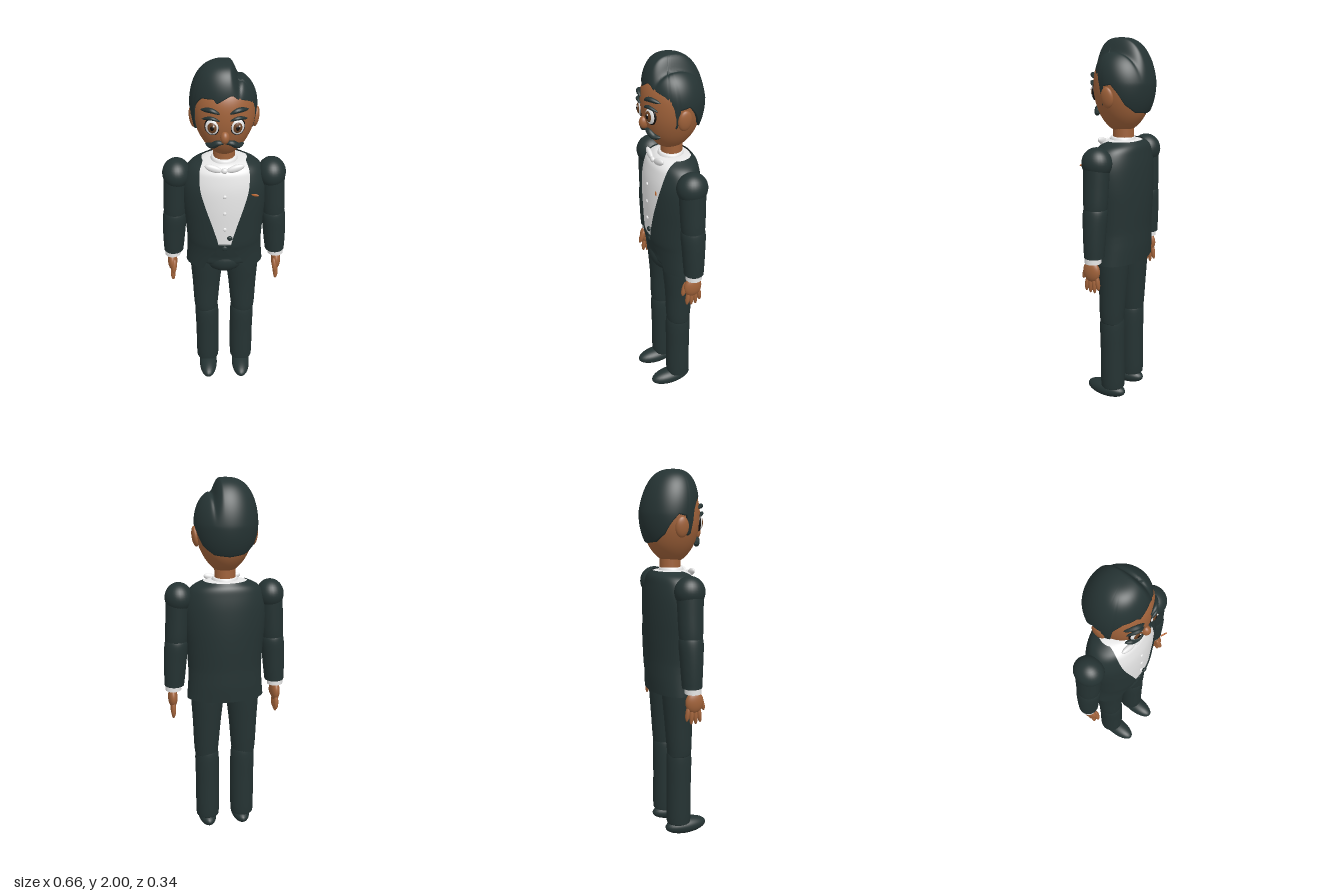
import * as THREE from 'three';
import { mergeVertices } from 'three/addons/utils/BufferGeometryUtils.js';

const mat = (name, color, side = THREE.FrontSide) => {
  const m = new THREE.MeshStandardMaterial({ color, side });
  m.name = name;
  return m;
};

// Smooth sheet from a rule f(u, v) -> [x, y, z]; u runs round, v runs up
function sheet(f, nu, nv) {
  const pos = [], idx = [];
  for (let j = 0; j <= nv; j++)
    for (let i = 0; i <= nu; i++) pos.push(...f(i / nu, j / nv));
  for (let j = 0; j < nv; j++)
    for (let i = 0; i < nu; i++) {
      const a = j * (nu + 1) + i, b = a + nu + 1;
      idx.push(a, a + 1, b, a + 1, b + 1, b);
    }
  let g = new THREE.BufferGeometry();
  g.setAttribute('position', new THREE.Float32BufferAttribute(pos, 3));
  g.setIndex(idx);
  g = mergeVertices(g, 1e-5);
  g.computeVertexNormals();
  return g;
}

// Elliptical loft; level = [y, rx, rz, cx, cz, half width of the front opening]
function loft(levels, nu = 40, nv = 40) {
  const curve = (a, b) => new THREE.CatmullRomCurve3(
    levels.map(l => new THREE.Vector3(l[a] || 0, l[0], l[b] || 0)), false, 'catmullrom');
  const size = curve(1, 2), mid = curve(3, 4), gap = curve(5, 5);
  return sheet((u, v) => {
    const s = size.getPoint(v), c = mid.getPoint(v);
    const rx = Math.max(0, s.x), rz = Math.max(0, s.z);
    const w = Math.max(0, gap.getPoint(v).x);
    const g = w > 0 ? Math.asin(Math.min(0.99, w / rx)) : 0;
    const a = g + u * (Math.PI * 2 - 2 * g);
    return [c.x + rx * Math.sin(a), s.y, c.z + rz * Math.cos(a)];
  }, nu, nv);
}

// Rounded stroke that tapers to both ends
function stroke(points, r, power = 0.6) {
  const n = 20, m = 10;
  const curve = new THREE.CatmullRomCurve3(points.map(p => new THREE.Vector3(...p)));
  const g = new THREE.TubeGeometry(curve, n, r, m);
  const p = g.attributes.position, v = new THREE.Vector3();
  for (let i = 0; i <= n; i++) {
    const c = curve.getPointAt(i / n);
    const k = Math.pow(Math.max(0, Math.sin(Math.PI * i / n)), power);
    for (let j = 0; j <= m; j++) {
      const q = i * (m + 1) + j;
      v.fromBufferAttribute(p, q).sub(c).multiplyScalar(k).add(c);
      p.setXYZ(q, v.x, v.y, v.z);
    }
  }
  g.computeVertexNormals();
  return g;
}

export function createModel() {
  const model = new THREE.Group();
  const dark = mat('dark cloth and hair', 0x253333);
  const darkOpen = mat('dark open cloth', 0x253333, THREE.DoubleSide);
  const skin = mat('skin', 0xa0623a);
  const white = mat('white', 0xeeeeee);
  const brown = mat('iris brown', 0x6b4224);
  const black = mat('pupil black', 0x14100e);
  const orange = mat('pocket square orange', 0xb8652f);

  const add = (name, geo, material, parent = model) => {
    const m = new THREE.Mesh(geo, material);
    m.name = name;
    parent.add(m);
    return m;
  };
  const ball = (name, material, p, r, rot = [0, 0, 0]) => {
    const m = add(name, new THREE.SphereGeometry(1, 28, 20), material);
    m.position.set(...p);
    m.scale.set(...r);
    m.rotation.set(...rot);
    return m;
  };

  // Torso clothing
  add('jacket', loft([
    [0.84, 0.21, 0.12, 0, -0.01, 0.115], [0.92, 0.203, 0.127, 0, -0.008, 0.085],
    [0.98, 0.2, 0.132, 0, -0.004, 0.05], [1.03, 0.201, 0.137, 0, 0, 0.034],
    [1.14, 0.208, 0.142, 0, 0, 0.06], [1.25, 0.218, 0.143, 0, 0, 0.093],
    [1.35, 0.218, 0.138, 0, 0, 0.12], [1.42, 0.2, 0.125, 0, -0.004, 0.126],
    [1.46, 0.17, 0.112, 0, -0.008, 0.122], [1.487, 0.115, 0.09, 0, -0.01, 0.108]], 64, 54), darkOpen);
  add('shirt', loft([
    [1.02, 0.193, 0.129], [1.14, 0.2, 0.134], [1.25, 0.209, 0.136], [1.35, 0.209, 0.131],
    [1.42, 0.191, 0.118], [1.455, 0.165, 0.105], [1.483, 0.11, 0.085, 0, -0.008],
    [1.49, 0.05, 0.05]], 48, 40), white);
  add('waistband', loft([[0.865, 0, 0], [0.87, 0.18, 0.1], [0.93, 0.185, 0.115],
    [1.0, 0.19, 0.128], [1.03, 0.194, 0.132], [1.032, 0.1, 0.1]]), dark);
  ball('pelvis', dark, [0, 0.885, 0.01], [0.125, 0.095, 0.11]);
  add('collar', loft([[1.475, 0.072, 0.07], [1.5, 0.064, 0.062], [1.503, 0.05, 0.05]], 32, 8), white);
  for (const y of [1.335, 1.235, 1.135])
    ball('shirtButton', white, [0, y, y > 1.3 ? 0.133 : 0.136], [0.01, 0.01, 0.006]);
  ball('jacketButton', dark, [0.026, 1.08, 0.14], [0.014, 0.014, 0.009]);
  ball('waistButton', dark, [0, 1.005, 0.13], [0.016, 0.016, 0.008]);
  ball('pocketSquare', orange, [0.15, 1.358, 0.153], [0.02, 0.007, 0.004], [0, -0.35, 0]);
  ball('bowKnot', white, [0, 1.468, 0.1], [0.016, 0.015, 0.012]);

  // Head
  add('neck', new THREE.CylinderGeometry(0.055, 0.055, 0.16, 28).translate(0, 1.54, -0.005), skin);
  add('head', loft([
    [1.528, 0, 0, 0, 0.005], [1.536, 0.04, 0.045, 0, 0.005], [1.565, 0.077, 0.085, 0, 0.002],
    [1.62, 0.115, 0.122], [1.69, 0.143, 0.143], [1.76, 0.153, 0.15], [1.83, 0.148, 0.143],
    [1.88, 0.125, 0.12], [1.91, 0.075, 0.08], [1.918, 0, 0]], 48, 48), skin);
  ball('nose', skin, [0, 1.678, 0.143], [0.022, 0.032, 0.026]);

  // Hair cap: its lower edge changes with the angle from the front
  const edge = (a, right) => {
    const keys = [[0, 1.865], [12, 1.845], [18, 1.865], [42, 1.86], [52, 1.83], [58, 1.8], [62, 1.68],
      [72, 1.67], [77, 1.77], [95, 1.78], [108, 1.74], [122, 1.68], [145, 1.64], [180, 1.63]];
    if (right && a < 42) return 1.865 + 0.02 * Math.sin(a / 42 * Math.PI);
    const i = Math.max(1, keys.findIndex(k => k[0] >= a));
    const [a0, y0] = keys[i - 1], [a1, y1] = keys[i];
    return y0 + (y1 - y0) * (a - a0) / (a1 - a0);
  };
  add('hair', sheet((u, v) => {
    const a = (u * 2 - 1) * Math.PI;
    const yb = edge(Math.min(180, Math.abs(a) * 180 / Math.PI), a > 0);
    const low = Math.asin((yb - 1.78) / 0.22);
    const t = Math.max(0, (v - 0.04) / 0.96);
    const phi = low + (Math.PI / 2 - low) * t, s = Math.sin(phi);
    const r = (t >= 1 ? 0 : Math.pow(Math.cos(phi), 0.75)) * (v < 0.02 ? 0.85 : 1);
    const x = -0.004 + 0.163 * r * Math.sin(a);
    const z = -0.013 + 0.022 * Math.max(0, s) + (Math.cos(a) > 0 ? 0.15 : 0.157) * r * Math.cos(a);
    // Side parting
    const part = 0.05 * THREE.MathUtils.smoothstep(x, 0.025, 0.07)
      + 0.014 * Math.exp(-(((x - 0.067) / 0.012) ** 2));
    return [x, 1.78 + 0.22 * s - part * Math.max(0, s), z];
  }, 144, 50), darkOpen);

  for (const s of [-1, 1]) {
    // Face
    ball('ear', skin, [s * 0.152, 1.715, -0.003], [0.018, 0.053, 0.036], [0, 0, -s * 0.12]);
    const turn = [0, s * 0.3, 0];
    ball('eyeRim', black, [s * 0.06, 1.73, 0.132], [0.037, 0.044, 0.012], turn);
    ball('eyeWhite', white, [s * 0.06, 1.73, 0.134], [0.033, 0.04, 0.016], turn);
    ball('iris', brown, [s * 0.06, 1.73, 0.143], [0.023, 0.028, 0.011], turn);
    ball('pupil', black, [s * 0.06, 1.73, 0.15], [0.011, 0.014, 0.006], turn);
    ball('eyeGlint', white, [s * 0.06 + 0.008, 1.742, 0.154], [0.004, 0.005, 0.003], turn);
    add('eyebrow', stroke([[s * 0.022, 1.8, 0.149], [s * 0.06, 1.816, 0.143],
      [s * 0.112, 1.806, 0.105]], 0.012), dark);
    add('eyelid', stroke([[s * 0.022, 1.765, 0.15], [s * 0.06, 1.779, 0.148],
      [s * 0.107, 1.764, 0.117]], 0.009), dark);
    add('moustache', stroke([[0, 1.64, 0.133], [s * 0.03, 1.644, 0.134],
      [s * 0.062, 1.622, 0.118], [s * 0.093, 1.624, 0.098]], 0.016), dark);
    ball('bowWing', white, [s * 0.055, 1.477, 0.092], [0.045, 0.019, 0.014], [0, s * 0.1, s * 0.3]);

    // Arm
    ball('shoulder', dark, [s * 0.243, 1.4, 0], [0.073, 0.08, 0.08]);
    add('upperArm', loft([[1.15, 0, 0, s * 0.262], [1.155, 0.05, 0.05, s * 0.262],
      [1.18, 0.06, 0.062, s * 0.26], [1.3, 0.063, 0.067, s * 0.252], [1.4, 0.066, 0.07, s * 0.245]], 32, 24), dark);
    add('forearm', loft([[0.905, 0, 0, s * 0.278], [0.91, 0.047, 0.047, s * 0.278],
      [0.93, 0.054, 0.053, s * 0.277], [1.05, 0.061, 0.06, s * 0.27],
      [1.15, 0.062, 0.064, s * 0.262], [1.185, 0.045, 0.045, s * 0.262], [1.195, 0, 0, s * 0.262]], 32, 32), dark);
    add('cuff', new THREE.CylinderGeometry(0.043, 0.043, 0.035, 28).translate(s * 0.284, 0.9, 0.003), white);
    ball('palm', skin, [s * 0.288, 0.835, 0.01], [0.026, 0.058, 0.05]);
    for (let i = 0; i < 4; i++)
      ball('finger', skin, [s * 0.288, 0.765 + (i === 3 ? 0.012 : 0), 0.038 - i * 0.022],
        [0.013, i === 0 || i === 3 ? 0.043 : 0.05, 0.012], [-(1.5 - i) * 0.08, 0, 0]);
    ball('thumb', skin, [s * 0.278, 0.825, 0.054], [0.014, 0.042, 0.014], [-0.3, 0, s * 0.1]);

    // Leg
    add('thigh', loft([[0.475, 0, 0, s * 0.105], [0.48, 0.055, 0.055, s * 0.105],
      [0.51, 0.067, 0.067, s * 0.106, 0.004], [0.68, 0.078, 0.076, s * 0.102],
      [0.85, 0.091, 0.088, s * 0.097], [0.92, 0.085, 0.085, s * 0.095]], 36, 32), dark);
    add('shin', loft([[0.078, 0, 0, s * 0.102], [0.08, 0.055, 0.055, s * 0.102, 0.003],
      [0.1, 0.066, 0.068, s * 0.102, 0.003], [0.3, 0.067, 0.068, s * 0.101, 0.004],
      [0.48, 0.066, 0.068, s * 0.103, 0.004], [0.515, 0.045, 0.045, s * 0.104], [0.52, 0, 0, s * 0.104]], 36, 32), dark);
    ball('shoe', dark, [s * 0.1, 0.046, 0.048], [0.053, 0.046, 0.122]);
    ball('ankle', dark, [s * 0.1, 0.085, 0.003], [0.045, 0.04, 0.045]);
  }
  return model;
}
